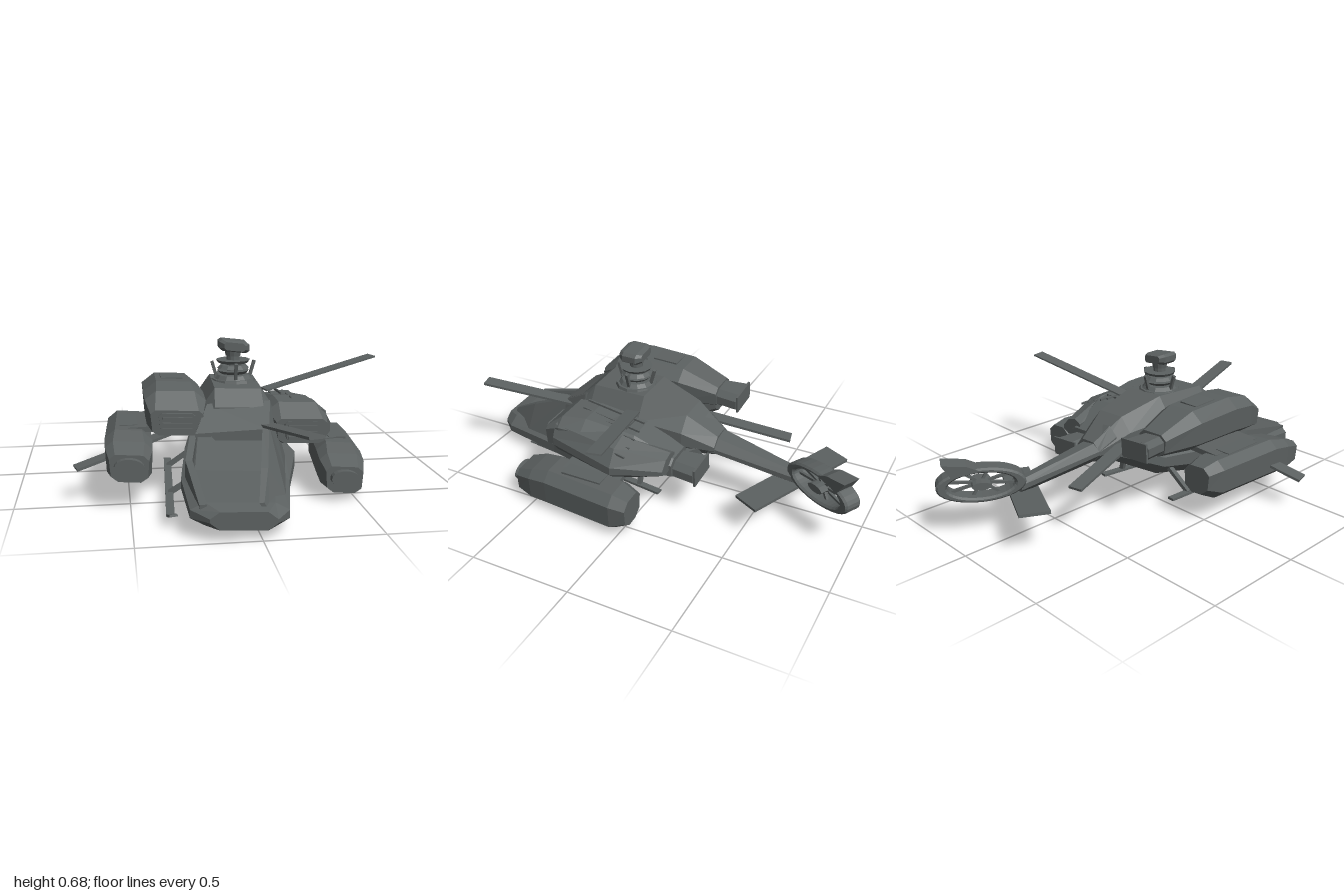
import * as THREE from 'three';

const ROLL = -0.15; // the hull rests leaning to its left

export function createModel() {
  const model = new THREE.Group();
  model.name = 'wreckedHelicopter';
  const grey = new THREE.MeshStandardMaterial({ color: 0x5c6161 });
  grey.name = 'gunmetal';
  const V = (x, y, z) => new THREE.Vector3(x, y, z);

  function add(name, geometry, parent = model) {
    const g = geometry.index ? geometry.toNonIndexed() : geometry;
    g.computeVertexNormals();
    const mesh = new THREE.Mesh(g, grey);
    mesh.name = name;
    parent.add(mesh);
    return mesh;
  }

  // chamfered cross-section: x range, y range, corner cuts, roll shear, narrower underside
  function section(z, x0, x1, y0, y1, cx = 0.05, cy = 0.04, roll = ROLL, inset = 0) {
    const mid = (x0 + x1) / 2;
    return [[x0 + cx + inset, y0], [x1 - cx - inset, y0], [x1 - inset / 2, y0 + cy], [x1, y1 - cy],
      [x1 - cx, y1], [x0 + cx, y1], [x0, y1 - cy], [x0 + inset / 2, y0 + cy]]
      .map(([x, y]) => V(x, y + roll * (x - mid), z));
  }

  // skin over cross-sections, listed from front to back
  function loft(name, sections, parent) {
    const pts = [];
    const n = sections[0].length;
    for (let i = 0; i + 1 < sections.length; i++) {
      const f = sections[i], b = sections[i + 1];
      for (let j = 0; j < n; j++) {
        const k = (j + 1) % n;
        pts.push(b[j], b[k], f[j], f[j], b[k], f[k]);
      }
    }
    const first = sections[0], last = sections[sections.length - 1];
    for (let j = 1; j + 1 < n; j++) {
      pts.push(first[0], first[j], first[j + 1], last[0], last[j + 1], last[j]);
    }
    return add(name, new THREE.BufferGeometry().setFromPoints(pts), parent);
  }

  // flat bar from a to b
  function bar(name, a, b, width, thick, parent) {
    const dir = b.clone().sub(a);
    const len = dir.length();
    dir.normalize();
    const up = Math.abs(dir.y) > 0.95 ? V(0, 0, 1) : V(0, 1, 0);
    const side = dir.clone().cross(up).normalize();
    const top = side.clone().cross(dir);
    const m = new THREE.Matrix4().makeBasis(side, top, dir.negate())
      .setPosition(a.clone().add(b).multiplyScalar(0.5));
    return add(name, new THREE.BoxGeometry(width, thick, len).applyMatrix4(m), parent);
  }

  // hull
  loft('lowerHull', [
    section(1.0, -0.21, 0.06, 0.05, 0.125, 0.04, 0.03, -0.05),
    section(0.93, -0.28, 0.12, 0.045, 0.14, 0.06, 0.03, -0.05),
    section(0.6, -0.285, 0.19, 0.04, 0.165, 0.06, 0.04, -0.06),
    section(0.3, -0.24, 0.28, 0.05, 0.22, 0.06, 0.05, -0.08),
    section(0.05, -0.19, 0.25, 0.09, 0.24, 0.06, 0.05, -0.08),
    section(-0.2, -0.11, 0.12, 0.23, 0.32, 0.04, 0.03, -0.08),
  ]);

  // open cockpit: standing left wall, low right sill, roof frame
  const wall = (z, xTop, yTop, xLow, yLow, t) =>
    [V(xLow - t, yLow, z), V(xLow, yLow, z), V(xTop + t / 2, yTop, z), V(xTop - t / 2, yTop, z)];
  loft('leftCanopyWall', [
    wall(0.96, 0.0, 0.145, 0.03, 0.11, 0.02),
    wall(0.8, 0.04, 0.235, 0.13, 0.12, 0.03),
    wall(0.56, 0.09, 0.35, 0.18, 0.13, 0.03),
    wall(0.42, 0.12, 0.43, 0.21, 0.16, 0.03),
  ]);
  loft('rightSill', [
    wall(0.95, -0.23, 0.145, -0.21, 0.11, 0.03),
    wall(0.6, -0.25, 0.22, -0.24, 0.12, 0.03),
    wall(0.42, -0.21, 0.3, -0.21, 0.14, 0.03),
  ]);
  loft('cockpitRoof', [
    [V(-0.22, 0.315, 0.58), V(0.09, 0.315, 0.58), V(0.09, 0.34, 0.58), V(-0.22, 0.33, 0.58)],
    [V(-0.19, 0.33, 0.43), V(0.13, 0.33, 0.43), V(0.12, 0.425, 0.43), V(-0.15, 0.425, 0.43)],
  ]);
  loft('engineDeck', [
    section(0.46, -0.17, 0.15, 0.26, 0.41, 0.05, 0.06, -0.04),
    section(0.38, -0.18, 0.17, 0.24, 0.48, 0.07, 0.1, -0.04),
    section(0.1, -0.17, 0.18, 0.22, 0.49, 0.07, 0.1, -0.04),
    section(-0.12, -0.12, 0.15, 0.22, 0.43, 0.06, 0.07, -0.04),
    section(-0.27, -0.065, 0.095, 0.23, 0.33, 0.04, 0.04, -0.04),
  ]);
  loft('tailBoom', [
    section(-0.18, -0.09, 0.11, 0.23, 0.39, 0.05, 0.05),
    section(-0.27, -0.065, 0.09, 0.23, 0.32, 0.04, 0.035),
    section(-0.68, 0.0, 0.075, 0.185, 0.25, 0.02, 0.02),
  ]);

  // engine nacelles: front centre, sideways drift and pitch toward the rear
  function nacelle(name, cx, cy, drift, pitch) {
    const g = new THREE.Group();
    g.name = name;
    model.add(g);
    const s = (z, w, y0, y1, c) => {
      const x = cx + drift * (0.5 - z), y = cy + pitch * (0.5 - z);
      return section(z, x - w, x + w, y + y0, y + y1, c, c * 0.8, -0.04, 0.015);
    };
    loft('nacelleBody', [
      s(0.5, 0.115, -0.1, 0.01, 0.02), s(0.42, 0.135, -0.11, 0.08, 0.05),
      s(0.3, 0.137, -0.11, 0.1, 0.06), s(0.05, 0.132, -0.11, 0.092, 0.06),
      s(-0.14, 0.085, -0.09, 0.02, 0.03),
    ], g);
    // grille
    loft('intake', [s(0.515, 0.08, -0.09, 0.0, 0.015), s(0.46, 0.08, -0.09, 0.0, 0.015)], g);
    for (let i = 0; i < 3; i++) {
      const y = cy - 0.07 + i * 0.025;
      bar('intakeSlat', V(cx - 0.065, y + 0.003, 0.518), V(cx + 0.065, y - 0.003, 0.518), 0.014, 0.01, g);
    }
    // exhaust
    const ex = cx + drift * 0.72, ey = cy + pitch * 0.72 - 0.035;
    loft('exhaust', [
      section(-0.1, ex - 0.07, ex + 0.07, ey - 0.045, ey + 0.045, 0.03, 0.025, -0.1),
      section(-0.25, ex - 0.085, ex + 0.085, ey - 0.045, ey + 0.045, 0.03, 0.025, -0.1),
    ], g);
    bar('exhaustLip', V(ex - 0.08, ey + 0.007, -0.255), V(ex + 0.08, ey - 0.007, -0.255), 0.01, 0.09, g);
    const hx = cx + drift * 0.35, hy = cy + pitch * 0.35 + 0.098;
    bar('hatch', V(hx, hy, 0.23), V(hx, hy - 0.004, 0.1), 0.1, 0.01, g);
  }
  nacelle('rightNacelle', -0.29, 0.405, 0.0, 0.0);
  nacelle('leftNacelle', 0.265, 0.348, -0.08, -0.12);
  loft('leftNacelleFairing', [
    section(0.44, 0.3, 0.41, 0.25, 0.39, 0.03, 0.05, -0.3),
    section(0.1, 0.28, 0.46, 0.21, 0.37, 0.05, 0.06, -0.35),
    section(-0.13, 0.24, 0.37, 0.24, 0.32, 0.04, 0.03, -0.3),
  ]);
  // torn ribs on the damaged nacelle
  for (let i = 0; i < 5; i++) {
    bar('tornRib', V(0.2 + i * 0.045, 0.445 - i * 0.02, 0.36), V(0.22 + i * 0.05, 0.41 - i * 0.02, 0.04), 0.008, 0.01);
  }

  // side pods: front and back centre x, middle height, roll
  function pod(name, f, b, y, roll) {
    const g = new THREE.Group();
    g.name = name;
    model.add(g);
    const s = (z, w, y0, y1, c) => {
      const x = THREE.MathUtils.lerp(b, f, (z + 0.05) / 0.65);
      return section(z, x - w, x + w, y + y0, y + y1, c, c * 0.9, roll, 0.012);
    };
    loft('podBody', [
      s(0.59, 0.085, -0.085, 0.035, 0.025), s(0.5, 0.103, -0.1, 0.07, 0.035),
      s(0.4, 0.105, -0.103, 0.095, 0.045), s(0.03, 0.097, -0.1, 0.095, 0.045),
      s(-0.05, 0.075, -0.06, 0.075, 0.035),
    ], g);
    const lens = add('podLens', new THREE.CylinderGeometry(0.065, 0.065, 0.04, 20)
      .rotateX(Math.PI / 2).scale(1, 0.6, 1), g);
    lens.position.set(f, y - 0.015, 0.6);
    lens.rotation.z = roll;
    const m = (f + b) / 2;
    bar('podHatch', V(m, y + 0.096, 0.33), V(m, y + 0.096, 0.12), 0.08, 0.01, g);
  }
  pod('rightPod', -0.503, -0.488, 0.215, -0.08);
  pod('leftPod', 0.44, 0.515, 0.122, -0.08);
  bar('rightStubWing', V(-0.15, 0.31, 0.22), V(-0.5, 0.3, 0.22), 0.3, 0.025);
  bar('leftStubWing', V(0.15, 0.25, 0.2), V(0.5, 0.2, 0.2), 0.3, 0.025);

  // rotor mast
  const mast = new THREE.Group();
  mast.name = 'rotorMast';
  mast.position.z = 0.2;
  model.add(mast);
  const rings = [
    ['mastBase', 0.1, 0.115, 0.04, 0.475], ['mastCollar', 0.075, 0.095, 0.025, 0.5],
    ['mastShaft', 0.03, 0.035, 0.16, 0.56], ['swashPlate', 0.075, 0.06, 0.015, 0.525],
    ['swashPlate', 0.06, 0.075, 0.015, 0.55], ['rotorDisc', 0.08, 0.07, 0.014, 0.575],
    ['mastNeck', 0.04, 0.035, 0.03, 0.615],
  ];
  for (const [name, top, bottom, h, y] of rings) {
    add(name, new THREE.CylinderGeometry(top, bottom, h, 12), mast).position.y = y;
  }
  loft('mastCap', [
    section(0.065, -0.05, 0.05, 0.63, 0.668, 0.012, 0.01, -0.12),
    section(0.04, -0.07, 0.07, 0.622, 0.675, 0.015, 0.012, -0.12),
    section(-0.03, -0.07, 0.07, 0.622, 0.675, 0.015, 0.012, -0.12),
    section(-0.055, -0.05, 0.05, 0.63, 0.668, 0.012, 0.01, -0.12),
  ], mast);
  for (let i = 0; i < 4; i++) {
    const a = i * Math.PI / 2;
    const c = Math.cos(a), s = Math.sin(a);
    bar('pitchLink', V(c * 0.075, 0.49, s * 0.075), V(c * 0.1, 0.575, s * 0.1), 0.014, 0.014, mast);
  }

  // broken rotor blades
  bar('leftBlade', V(0.16, 0.42, 0.135), V(0.735, 0.548, 0.0), 0.07, 0.008);
  bar('frontBlade', V(0.08, 0.335, 0.45), V(0.21, 0.405, 0.98), 0.07, 0.012);
  bar('rightBlade', V(-0.22, 0.3, 0.3), V(-0.735, 0.155, 0.435), 0.075, 0.012);
  bar('rearBlade', V(-0.11, 0.33, -0.1), V(-0.215, 0.25, -0.55), 0.07, 0.012);

  // tail plane and shrouded tail fan
  bar('tailPlane', V(-0.23, 0.215, -0.785), V(0.285, 0.165, -0.515), 0.14, 0.014);
  const tail = new THREE.Group();
  tail.name = 'tailFan';
  tail.position.set(0.115, 0.26, -0.82);
  tail.rotation.y = Math.PI / 2 - 0.51;
  model.add(tail);
  const oval = (rx, ry, type) => new type().absellipse(0, 0, rx, ry, 0, Math.PI * 2);
  const shroud = oval(0.2, 0.083, THREE.Shape);
  shroud.holes.push(oval(0.152, 0.06, THREE.Path));
  add('fanShroud', new THREE.ExtrudeGeometry(shroud, {
    depth: 0.07, bevelEnabled: true, bevelThickness: 0.01, bevelSize: 0.008,
    bevelOffset: -0.008, bevelSegments: 1, curveSegments: 16,
  }).translate(0, 0, -0.035), tail);
  add('fanHub', new THREE.CylinderGeometry(0.045, 0.045, 0.1, 12).rotateX(Math.PI / 2).scale(1, 0.42, 1), tail);
  for (let i = 0; i < 8; i++) {
    const a = (i + 0.3) * Math.PI / 4;
    bar('fanBlade', V(0, 0, 0), V(Math.cos(a) * 0.16, Math.sin(a) * 0.065, 0), 0.014, 0.012, tail);
  }
  const fin = new THREE.Shape([[0.0, 0.07], [0.13, 0.05], [0.17, 0.115], [0.06, 0.1]]
    .map(([x, y]) => new THREE.Vector2(x, y)));
  add('tailFin', new THREE.ExtrudeGeometry(fin, { depth: 0.09, bevelEnabled: false })
    .translate(0, 0, -0.045), tail);

  // landing skids
  function skid(name, a, b, hullX, hullY) {
    const g = new THREE.Group();
    g.name = name;
    model.add(g);
    bar('skidRail', a, b, 0.035, 0.012, g);
    bar('skidToe', a, a.clone().add(V(0.01, 0.012, 0.04)), 0.035, 0.01, g);
    for (const t of [0.35, 0.85]) {
      const p = a.clone().lerp(b, t);
      bar('skidStrut', p, V(hullX, hullY, p.z), 0.025, 0.02, g);
    }
  }
  skid('rightSkid', V(-0.345, 0.045, 0.78), V(-0.3, 0.045, -0.02), -0.14, 0.16);
  skid('leftSkid', V(0.08, 0.008, 0.78), V(0.19, 0.008, -0.02), 0.14, 0.13);

  return model;
}
